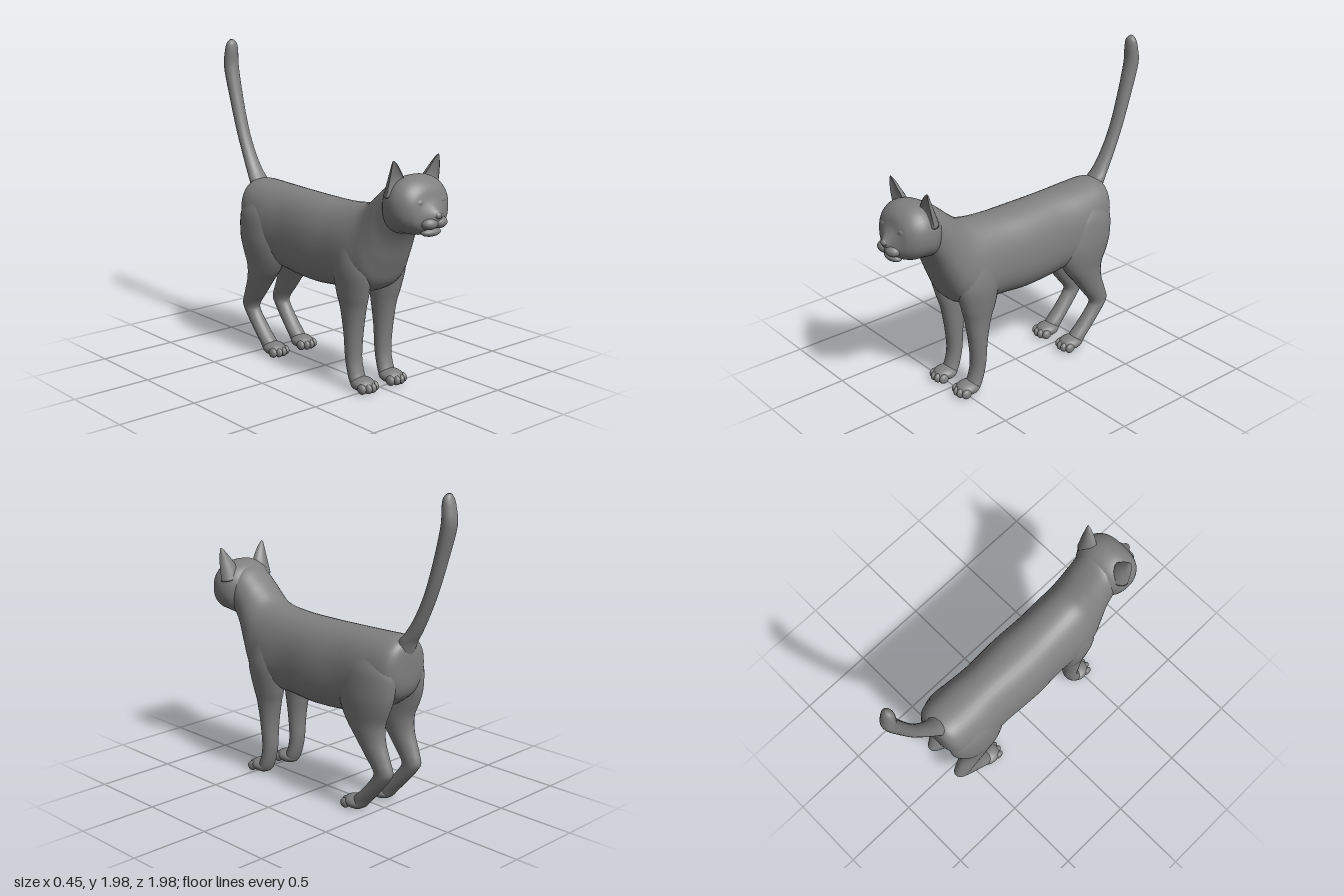
import * as THREE from 'three';

const fur = new THREE.MeshStandardMaterial({ color: 0x808080 });
fur.name = 'grey fur';

// Catmull-Rom blend of four numbers
const spline = (a, b, c, d, t) =>
  b + 0.5 * t * (c - a + t * (2 * a - 5 * b + 4 * c - d + t * (3 * (b - c) + d - a)));

// Smooth closed skin through rings; point(ring, angle) gives the surface
function loft(rings, point, sides = 32, steps = 5) {
  const fine = [], n = rings.length;
  for (let i = 0; i < n - 1; i++) {
    const q = [rings[Math.max(i - 1, 0)], rings[i], rings[i + 1], rings[Math.min(i + 2, n - 1)]];
    for (let s = 0; s < steps; s++) {
      fine.push(q[1].map((_, k) => spline(q[0][k], q[1][k], q[2][k], q[3][k], s / steps)));
    }
  }
  fine.push(rings[n - 1]);
  const pos = [], index = [], rows = fine.length;
  const ends = [new THREE.Vector3(), new THREE.Vector3()];
  fine.forEach((ring, r) => {
    for (let j = 0; j < sides; j++) {
      const p = point(ring, (j / sides) * Math.PI * 2);
      pos.push(...p);
      if (r === 0) ends[0].add(new THREE.Vector3(...p).divideScalar(sides));
      if (r === rows - 1) ends[1].add(new THREE.Vector3(...p).divideScalar(sides));
    }
  });
  ends.forEach((e) => pos.push(e.x, e.y, e.z));
  for (let j = 0; j < sides; j++) {
    const k = (j + 1) % sides, last = (rows - 1) * sides;
    for (let r = 0; r < rows - 1; r++) {
      const a = r * sides + j, b = r * sides + k;
      index.push(a, b, a + sides, b, b + sides, a + sides);
    }
    index.push(rows * sides, k, j, rows * sides + 1, last + j, last + k);
  }
  // turn the faces outwards if the enclosed volume is negative
  let volume = 0;
  const v = (i) => new THREE.Vector3().fromArray(pos, i * 3);
  for (let i = 0; i < index.length; i += 3) {
    volume += v(index[i]).dot(v(index[i + 1]).cross(v(index[i + 2])));
  }
  if (volume < 0) index.reverse();
  const g = new THREE.BufferGeometry();
  g.setAttribute('position', new THREE.Float32BufferAttribute(pos, 3));
  g.setIndex(index);
  g.computeVertexNormals();
  return g;
}

const soft = (v, e) => Math.sign(v) * Math.abs(v) ** e;

// Ring: [top z, top y, bottom z, bottom y, half width, widening downwards]
const trunkPoint = ([zt, yt, zb, yb, w, k], a) => {
  const s = soft(Math.sin(a), 0.88), t = (s + 1) / 2;
  return [w * soft(Math.cos(a), 0.88) * (1 - k * s), yb + (yt - yb) * t, zb + (zt - zb) * t];
};

// Ring: [y, front z, back z, inner x, outer x]
const limbPoint = (side) => ([y, zf, zb, xi, xo], a) => [
  side * ((xi + xo) / 2 + ((xo - xi) / 2) * Math.cos(a)),
  y,
  (zf + zb) / 2 + ((zf - zb) / 2) * Math.sin(a),
];

const BODY = [
  [-0.692, 1.02, -0.688, 0.9, 0.05, 0],
  [-0.675, 1.085, -0.675, 0.8, 0.125, 0],
  [-0.61, 1.113, -0.62, 0.72, 0.178, 0.03],
  [-0.45, 1.11, -0.45, 0.62, 0.205, 0.06],
  [-0.25, 1.105, -0.25, 0.578, 0.2, 0.08],
  [0, 1.098, 0, 0.56, 0.21, 0.06],
  [0.2, 1.1, 0.2, 0.575, 0.203, 0.08],
  [0.36, 1.115, 0.4, 0.585, 0.208, 0.14],
  [0.45, 1.14, 0.54, 0.64, 0.197, 0.12],
  [0.52, 1.19, 0.61, 0.76, 0.18, 0.06],
  [0.59, 1.25, 0.67, 0.9, 0.165, 0],
  [0.68, 1.315, 0.73, 1.0, 0.155, 0],
  [0.76, 1.31, 0.8, 1.06, 0.12, 0],
];
const HEAD = [
  [0.6, 1.22, 0.66, 1.03, 0.1, 0],
  [0.69, 1.318, 0.71, 1.0, 0.175, 0],
  [0.78, 1.35, 0.78, 1.01, 0.198, 0],
  [0.85, 1.335, 0.85, 1.015, 0.184, 0],
  [0.9, 1.29, 0.9, 1.035, 0.145, 0],
  [0.925, 1.225, 0.928, 1.06, 0.095, 0.08],
  [0.955, 1.18, 0.95, 1.075, 0.05, 0.2],
  [0.975, 1.16, 0.965, 1.1, 0.025, 0.2],
];
const FRONT_LEG = [
  [1.0, 0.46, 0.36, 0.08, 0.15],
  [0.9, 0.51, 0.29, 0.06, 0.198],
  [0.75, 0.55, 0.26, 0.05, 0.222],
  [0.6, 0.52, 0.28, 0.05, 0.208],
  [0.5, 0.49, 0.31, 0.053, 0.192],
  [0.35, 0.462, 0.34, 0.06, 0.181],
  [0.2, 0.45, 0.352, 0.065, 0.173],
  [0.11, 0.465, 0.372, 0.064, 0.172],
  [0.05, 0.49, 0.395, 0.062, 0.172],
  [0.015, 0.48, 0.42, 0.075, 0.16],
];
const HIND_LEG = [
  [1.02, -0.4, -0.58, 0.06, 0.16],
  [0.92, -0.31, -0.665, 0.03, 0.208],
  [0.78, -0.26, -0.668, 0.025, 0.225],
  [0.68, -0.265, -0.64, 0.035, 0.222],
  [0.58, -0.31, -0.602, 0.045, 0.208],
  [0.48, -0.39, -0.605, 0.06, 0.194],
  [0.38, -0.468, -0.64, 0.07, 0.182],
  [0.3, -0.528, -0.667, 0.075, 0.172],
  [0.25, -0.522, -0.645, 0.075, 0.17],
  [0.15, -0.44, -0.56, 0.07, 0.17],
  [0.08, -0.37, -0.495, 0.066, 0.17],
  [0.03, -0.36, -0.45, 0.068, 0.168],
  [0.012, -0.37, -0.42, 0.08, 0.155],
];
const TAIL = [
  [0.98, -0.6, -0.68, -0.06, 0.06],
  [1.08, -0.61, -0.715, -0.066, 0.066],
  [1.15, -0.665, -0.757, -0.055, 0.055],
  [1.25, -0.728, -0.808, -0.047, 0.047],
  [1.4, -0.797, -0.872, -0.044, 0.044],
  [1.6, -0.858, -0.938, -0.046, 0.046],
  [1.8, -0.905, -0.994, -0.05, 0.05],
  [1.9, -0.908, -0.985, -0.046, 0.046],
  [1.955, -0.915, -0.97, -0.036, 0.036],
  [1.98, -0.935, -0.955, -0.012, 0.012],
];
// Ring: [x, y, z, half width, depth, front hollow]
const EAR = [
  [0.135, 1.25, 0.755, 0.066, 0.06, -0.4],
  [0.14, 1.32, 0.772, 0.057, 0.05, 0.2],
  [0.155, 1.38, 0.783, 0.036, 0.034, 0.45],
  [0.168, 1.425, 0.787, 0.016, 0.018, 0.4],
  [0.176, 1.445, 0.787, 0.003, 0.004, 0],
];
const earPoint = (side) => ([x, y, z, w, d, hollow], a) => {
  const s = Math.sin(a);
  return [
    side * (x + w * Math.cos(a)),
    y - 0.25 * w * Math.cos(a),
    z + d * (s > 0 ? -hollow * s : s),
  ];
};

export function createModel() {
  const cat = new THREE.Group();
  cat.name = 'cat';
  const add = (name, geometry) => {
    const m = new THREE.Mesh(geometry, fur);
    m.name = name;
    cat.add(m);
    return m;
  };
  const blob = (name, x, y, z, rx, ry, rz) => {
    const m = add(name, new THREE.SphereGeometry(1, 24, 16));
    m.position.set(x, y, z);
    m.scale.set(rx, ry, rz);
    return m;
  };

  add('body', loft(BODY, trunkPoint, 40));
  add('head', loft(HEAD, trunkPoint, 40));
  add('tail', loft(TAIL, limbPoint(1), 24));
  blob('nose', 0, 1.143, 0.967, 0.024, 0.02, 0.019);
  blob('chin', 0, 1.04, 0.91, 0.07, 0.026, 0.04);

  for (const side of [1, -1]) {
    const label = side > 0 ? 'left' : 'right';
    add(label + 'FrontLeg', loft(FRONT_LEG, limbPoint(side), 24));
    add(label + 'HindLeg', loft(HIND_LEG, limbPoint(side), 24));
    add(label + 'Ear', loft(EAR, earPoint(side), 24));
    blob(label + 'Eye', side * 0.08, 1.214, 0.9, 0.033, 0.024, 0.022);
    blob(label + 'Muzzle', side * 0.036, 1.097, 0.935, 0.054, 0.036, 0.044);

    // paws with four toes each
    for (const [end, z] of [['Front', 0.48], ['Hind', -0.372]]) {
      blob(label + end + 'Paw', side * 0.115, 0.046, z, 0.07, 0.043, 0.08);
      for (let i = 0; i < 4; i++) {
        const u = i - 1.5;
        blob(label + end + 'Toe', side * (0.115 + u * 0.034), 0.034,
          z + 0.066 - 0.008 * u * u, 0.021, 0.031, 0.033);
      }
    }
  }
  return cat;
}
